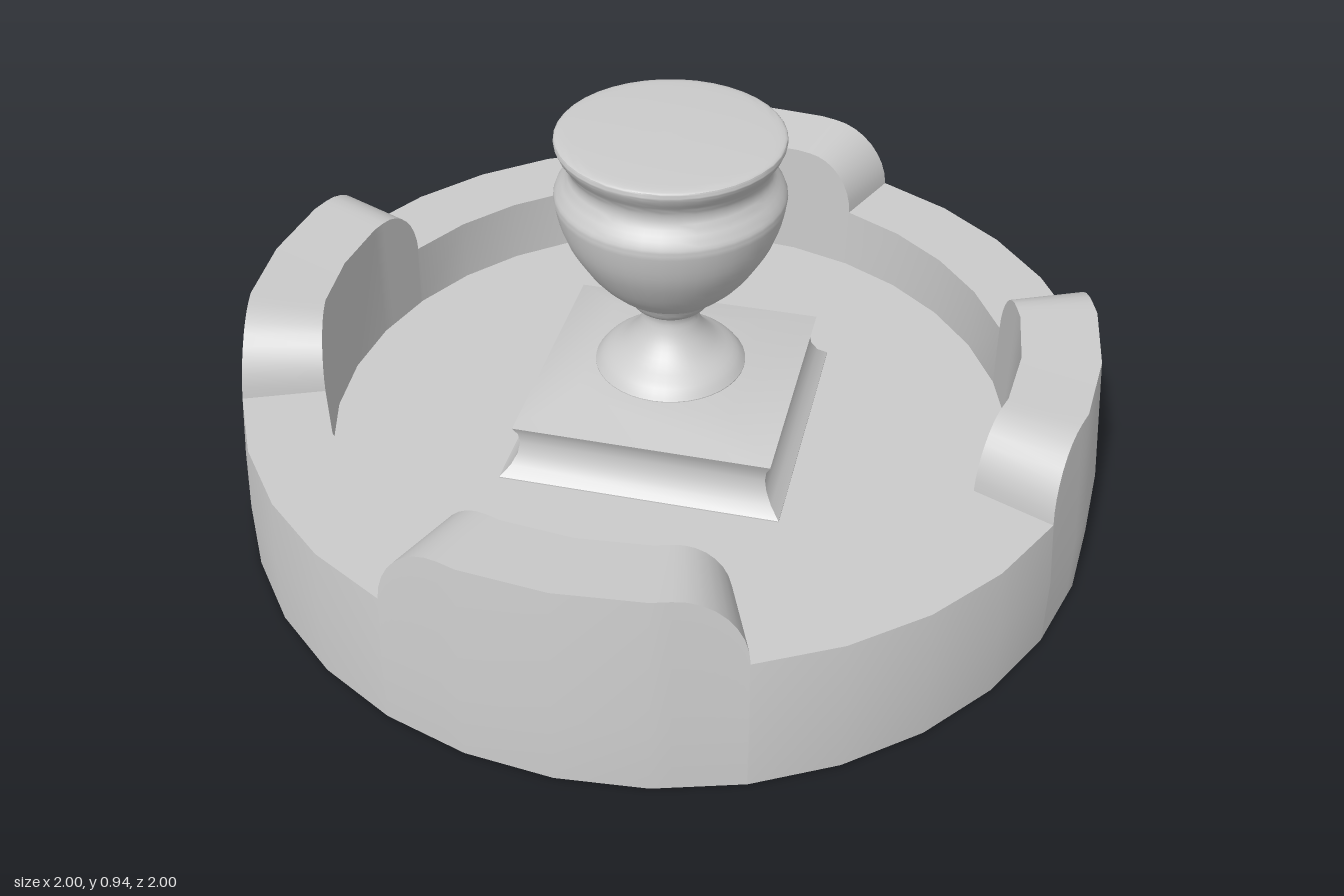
import * as THREE from 'three';
import { toCreasedNormals } from 'three/addons/utils/BufferGeometryUtils.js';

const SIDES = 32;
const STEP = (Math.PI * 2) / SIDES;
const FLOOR = 0.165;
const material = new THREE.MeshStandardMaterial({ color: 0xcccccc });

function addMesh(group, name, geometry) {
  const mesh = new THREE.Mesh(geometry, material);
  mesh.name = name;
  group.add(mesh);
}

// Radius factor that keeps in-between angles on the flat sides of the basin
function chord(a) {
  const local = a - Math.floor(a / STEP + 1e-6) * STEP;
  return Math.cos(STEP / 2) / Math.cos(local - STEP / 2);
}

// Stations round the wall: angle plus lift (0 = low rim, 1 = raised rim)
function wallStations() {
  const high = 0.24, low = Math.PI / 8, ends = [];
  for (let k = 0; k <= 8; k++) {
    const t = (k / 8) * Math.PI / 2;
    ends.push([high + (low - high) * Math.cos(t), Math.sin(t)]);
  }
  const quarter = [
    ...ends.map(([a, l]) => [-a, l]),
    [-STEP, 1], [0, 1], [STEP, 1],
    ...ends.slice().reverse(),
    [3 * STEP, 0], [4 * STEP, 0], [5 * STEP, 0],
  ];
  const stations = [];
  for (let q = 0; q < 4; q++) {
    for (const [a, l] of quarter) stations.push([a + q * Math.PI / 2, l]);
  }
  stations.push([quarter[0][0] + Math.PI * 2, 0]);
  return stations;
}

// Wall: a cross-section swept round, its top following the lift
function wallGeometry() {
  const positions = [], index = [];
  const stations = wallStations();
  for (const [a, lift] of stations) {
    const yOut = 0.326 + 0.159 * lift;
    const yIn = 0.326 + 0.144 * lift;
    const rOut = 1 - 0.027 * (yOut - 0.17) / 0.315;
    const section = [[1, 0], [1, 0.17], [rOut, yOut], [0.8, yIn], [0.8, FLOOR - 0.01]];
    const f = chord(a);
    for (const [r, y] of section) positions.push(r * f * Math.sin(a), y, r * f * Math.cos(a));
  }
  for (let i = 0; i < stations.length - 1; i++) {
    for (let j = 0; j < 4; j++) {
      const a = i * 5 + j, b = a + 5;
      index.push(a, b, b + 1, a, b + 1, a + 1);
    }
  }
  const geo = new THREE.BufferGeometry();
  geo.setAttribute('position', new THREE.Float32BufferAttribute(positions, 3));
  geo.setIndex(index);
  return toCreasedNormals(geo, 0.6);
}

const points = (list) => list.map(([x, y]) => new THREE.Vector2(x, y));

export function createModel() {
  const group = new THREE.Group();

  // Basin
  addMesh(group, 'basinWall', wallGeometry());
  addMesh(group, 'basinFloor', new THREE.CircleGeometry(0.805, SIDES).rotateX(-Math.PI / 2).translate(0, FLOOR, 0));
  addMesh(group, 'basinUnderside', new THREE.CircleGeometry(1, SIDES).rotateX(Math.PI / 2));

  // Square plinth with hollowed sides and a sloping top
  const plinthProfile = [
    [0.325, FLOOR - 0.005], [0.325, FLOOR + 0.003], [0.303, 0.19], [0.289, 0.218], [0.284, 0.245],
    [0.287, 0.27], [0.297, 0.292], [0.18, 0.332], [0, 0.332],
  ];
  addMesh(group, 'plinth', toCreasedNormals(new THREE.LatheGeometry(
    points(plinthProfile.map(([r, y]) => [r * Math.SQRT2, y])), 4, Math.PI / 4), 0.55));

  // Urn: flared foot and stem
  const foot = new THREE.SplineCurve(points([
    [0.175, 0.334], [0.155, 0.358], [0.11, 0.39], [0.078, 0.428], [0.064, 0.465], [0.066, 0.485],
  ])).getPoints(16);
  addMesh(group, 'urnFoot', toCreasedNormals(
    new THREE.LatheGeometry([...points([[0.175, 0.328]]), ...foot], 40), 0.6));

  // Urn: rounded collar, bowl, waist, lip and shallow domed top
  const bowl = new THREE.SplineCurve(points([
    [0.066, 0.485], [0.085, 0.497], [0.098, 0.515], [0.108, 0.532], [0.135, 0.55], [0.185, 0.604],
    [0.235, 0.69], [0.257, 0.77], [0.254, 0.8], [0.228, 0.84], [0.228, 0.87], [0.246, 0.9],
    [0.254, 0.92], [0.247, 0.931], [0.2, 0.935], [0.1, 0.938], [0, 0.939],
  ])).getPoints(64);
  addMesh(group, 'urnBowl', toCreasedNormals(new THREE.LatheGeometry(bowl, 40), 1));

  return group;
}
